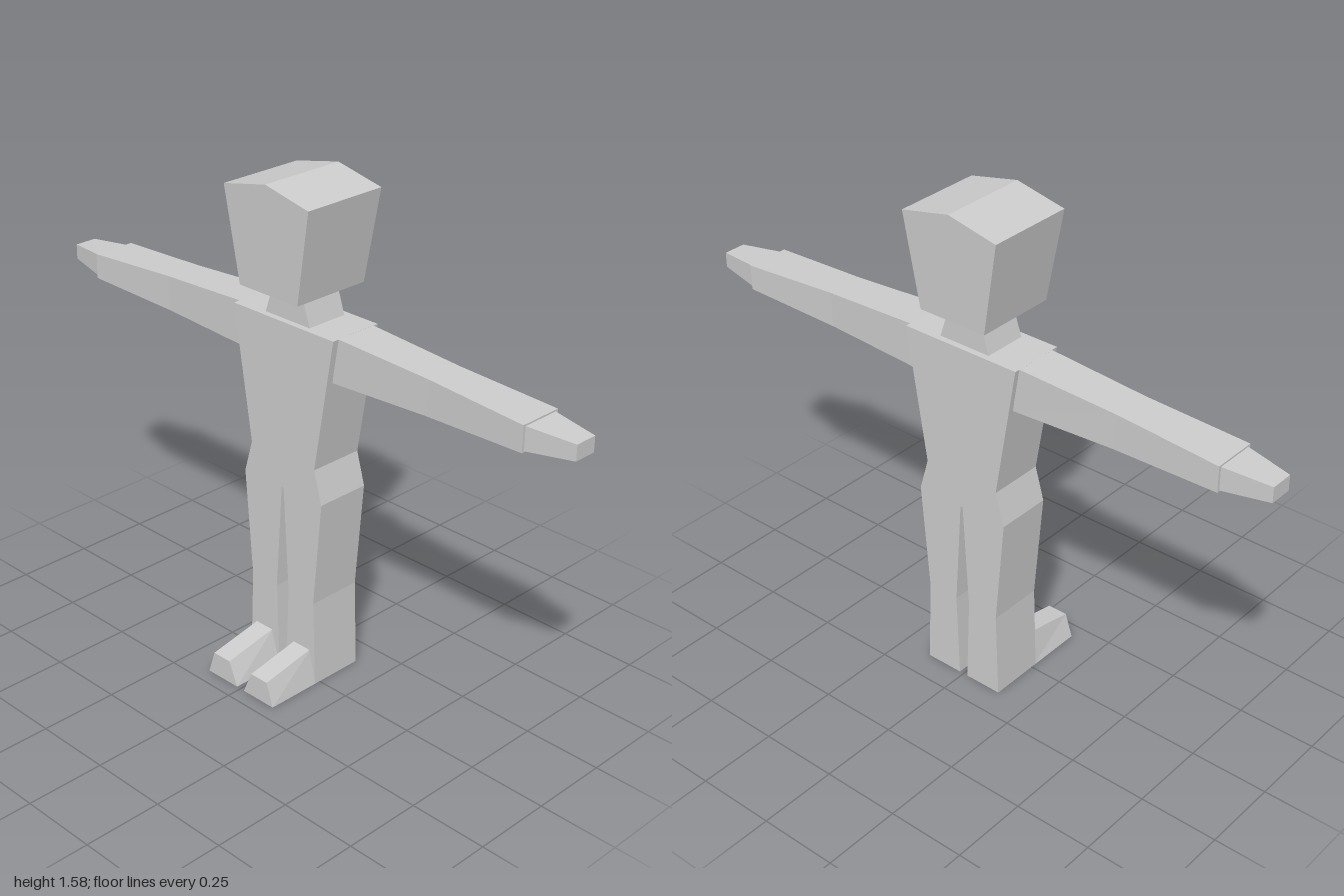
import * as THREE from 'three';

const material = new THREE.MeshStandardMaterial({ color: 0xcccccc, flatShading: true });

function addMesh(parent, name, geometry) {
  const mesh = new THREE.Mesh(geometry, material);
  mesh.name = name;
  parent.add(mesh);
  return mesh;
}

// Front outline extruded between two depths
function slab(points, zBack, zFront) {
  const shape = new THREE.Shape(points.map(([x, y]) => new THREE.Vector2(x, y)));
  const geo = new THREE.ExtrudeGeometry(shape, { depth: zFront - zBack, bevelEnabled: false });
  return geo.translate(0, 0, zBack);
}

// Unit box whose corners are moved by a rule; a, b, c are each 0 or 1 along x, y, z
function warpedBox(rule, xSegments = 1) {
  const geo = new THREE.BoxGeometry(1, 1, 1, xSegments, 1, 1).translate(0.5, 0.5, 0.5);
  const p = geo.attributes.position;
  for (let i = 0; i < p.count; i++) p.setXYZ(i, ...rule(p.getX(i), p.getY(i), p.getZ(i)));
  geo.computeVertexNormals();
  return geo;
}

const mix = THREE.MathUtils.lerp;

export function createModel() {
  const model = new THREE.Group();
  model.name = 'figure';

  // Torso and legs share one outline, mirrored about the crotch
  const half = [[0.015, 0], [0.14, 0], [0.13, 0.28], [0.16, 0.625], [0.13, 0.73], [0.2, 1.155]];
  const inner = [[0.004, 0.625], [0.025, 0.28]];
  const side = [...inner, ...half];
  const outline = [...side, ...side.map(([x, y]) => [-x, y]).reverse()];
  addMesh(model, 'body', slab(outline, -0.16, 0.02));

  // Neck
  addMesh(model, 'neck', slab([[-0.09, 1.15], [0.09, 1.15], [0.055, 1.255], [-0.055, 1.255]], -0.14, 0));

  // Head, widening upward to a shallow ridge
  addMesh(model, 'head', warpedBox((a, b, c) => [
    (a - 0.5) * mix(0.23, 0.33, b),
    b ? (a === 0.5 ? 1.575 : 1.54) : 1.25,
    c ? mix(0.075, 0.085, b) : mix(-0.19, -0.2, b),
  ], 2));

  for (const s of [1, -1]) {
    const sideName = s > 0 ? 'left' : 'right';
    // Mirroring a warped box flips its a axis, which keeps faces outward
    const along = (a) => (s > 0 ? a : 1 - a);

    // Arm, slightly thinner in depth at the elbow
    addMesh(model, sideName + 'Arm', warpedBox((a, b, c) => {
      const t = along(a);
      const d = t === 0.5 ? 0.008 : 0;
      const root = b ? 0.197 : 0.178;
      return [
        s * mix(root, 0.855, t),
        b ? mix(1.155, 1.12, t) : mix(1.015, 1.04, t),
        c ? -0.002 - d : -0.143 + d,
      ];
    }, 2));

    // Hand
    addMesh(model, sideName + 'Hand', warpedBox((a, b, c) => {
      const t = along(a);
      return [
        s * mix(0.85, 1, t),
        b ? mix(1.115, 1.104, t) : mix(1.042, 1.056, t),
        c ? mix(-0.01, -0.038, t) : mix(-0.135, -0.112, t),
      ];
    }));

    // Foot, sloping down to the toe
    addMesh(model, sideName + 'Foot', warpedBox((a, b, c) => [
      s * (along(a) ? (b ? 0.115 : 0.14) : (b ? 0.048 : 0.015)),
      b ? mix(0.112, 0.076, c) : 0,
      mix(0.015, 0.2, c),
    ]));
  }
  return model;
}
